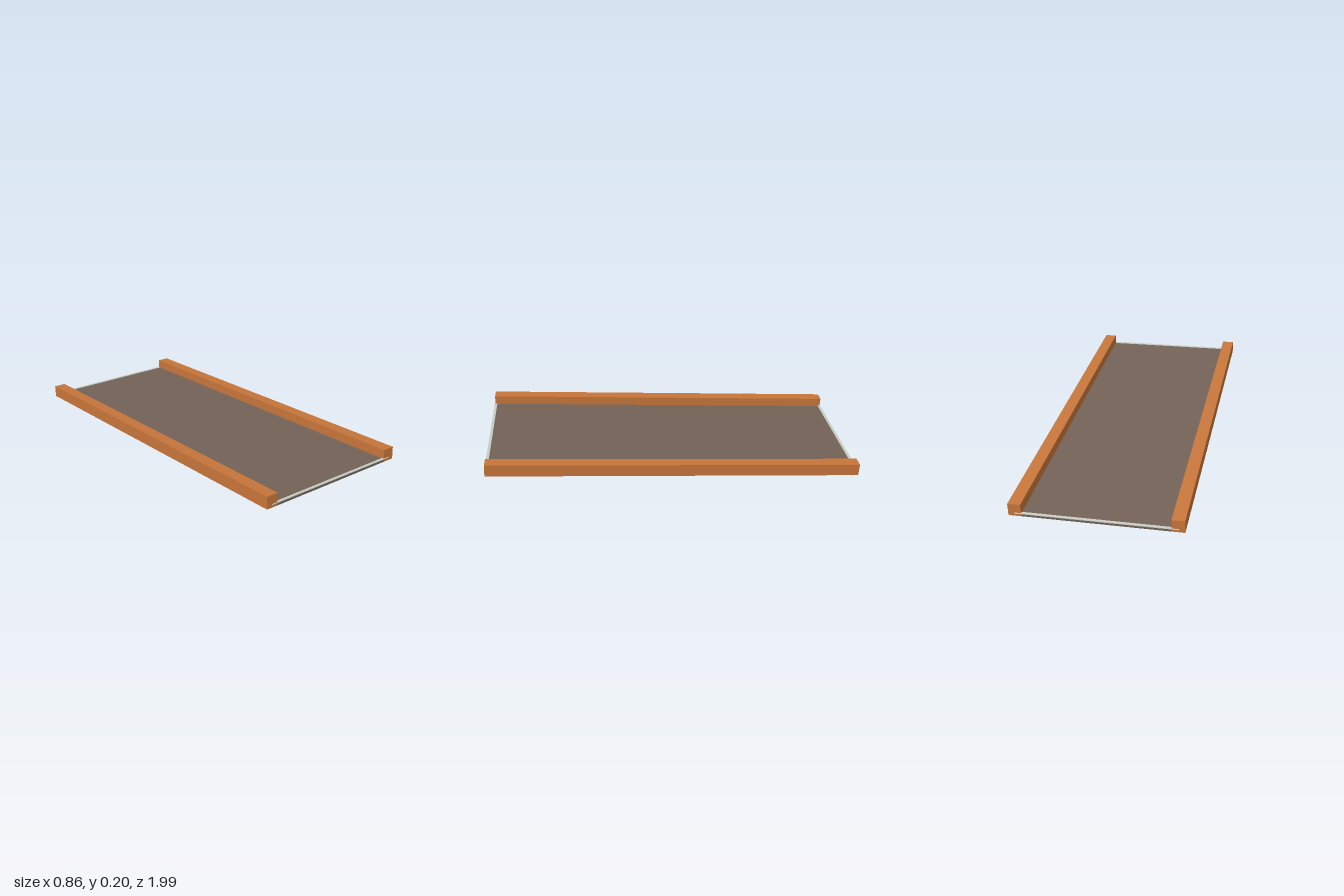
import * as THREE from 'three';

const LENGTH = 1.988, RAIL_WIDTH = 0.065, RAIL_HEIGHT = 0.065;
const DECK_WIDTH = 0.8, DECK_HEIGHT = 0.016;

function material(name, color) {
  const m = new THREE.MeshStandardMaterial({ color });
  m.name = name;
  return m;
}

export function createModel() {
  const model = new THREE.Group();
  model.name = 'ramp';
  const orange = material('orange', 0xc8763a);
  const brown = material('greyBrown', 0x736257);
  const pale = material('paleGrey', 0xc8cec4);

  // The whole ramp rises to the front and leans slightly to one side
  const ramp = new THREE.Group();
  ramp.name = 'tiltedRamp';
  ramp.position.set(0, 0.073, 0.002);
  ramp.rotation.set(-0.061, 0, -0.021);
  model.add(ramp);

  const box = (name, mat, w, h, d, x, bottom, z) => {
    const mesh = new THREE.Mesh(new THREE.BoxGeometry(w, h, d), mat);
    mesh.name = name;
    mesh.position.set(x, bottom + h / 2, z);
    ramp.add(mesh);
  };

  // Deck, let into the undersides of the rails
  box('deck', brown, DECK_WIDTH, DECK_HEIGHT, LENGTH - 0.002, 0, -0.0008, 0);

  // Side rails
  for (const [name, side] of [['leftRail', 1], ['rightRail', -1]]) {
    box(name, orange, RAIL_WIDTH, RAIL_HEIGHT, LENGTH, side * (0.43 - RAIL_WIDTH / 2), 0, 0);
  }

  // Thin edge strips across both ends of the deck
  for (const [name, end] of [['frontEdgeStrip', 1], ['backEdgeStrip', -1]]) {
    box(name, pale, DECK_WIDTH, 0.004, 0.015, 0, DECK_HEIGHT - 0.002, end * 0.99);
  }
  return model;
}
